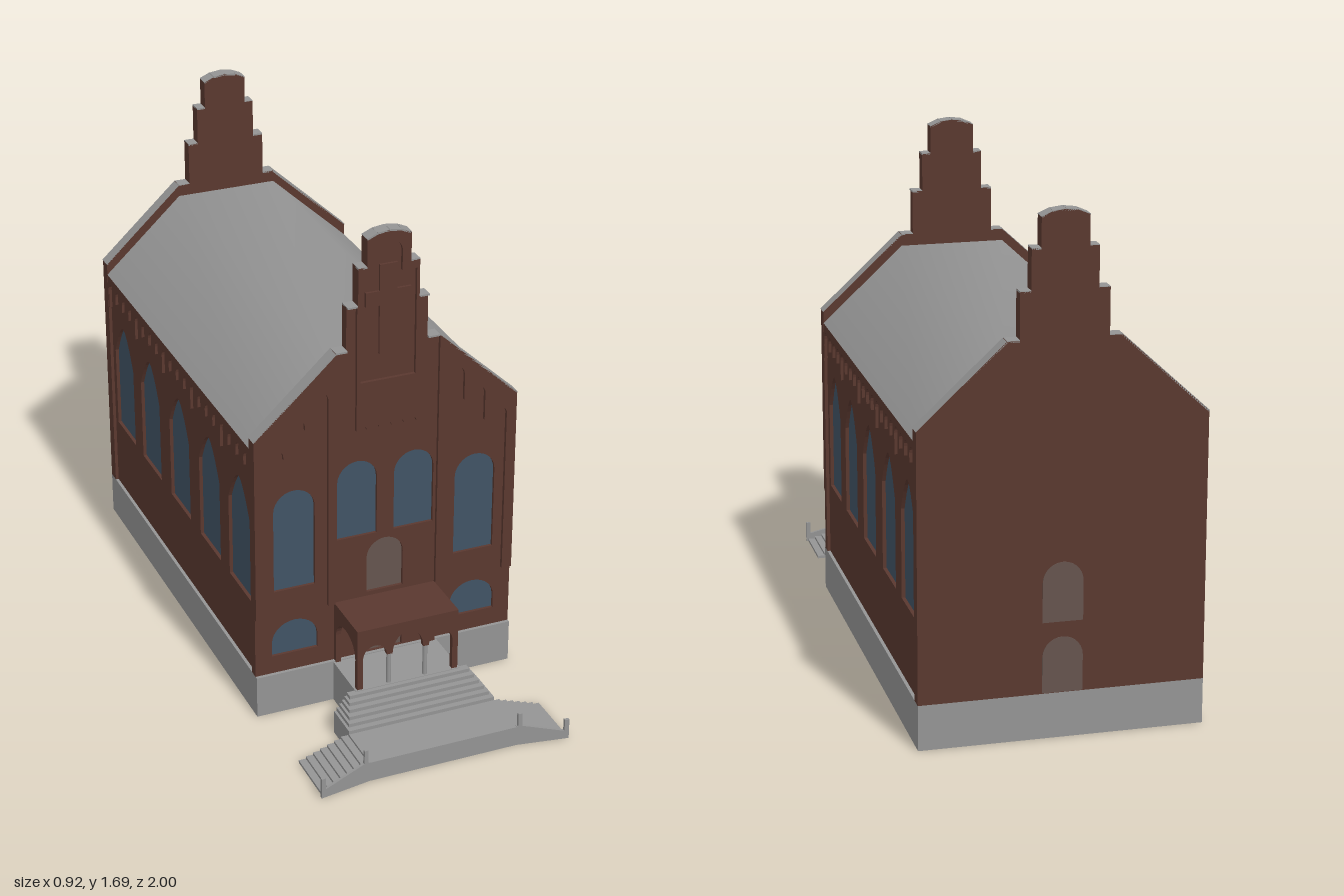
import * as THREE from 'three';

const paint = (name, color) => Object.assign(new THREE.MeshStandardMaterial({ color }), { name });

export function createModel() {
  const brick = paint('brick', 0x5a382f);
  const stone = paint('stone', 0x949494);
  const glass = paint('glass', 0x405365);
  const wood = paint('door wood', 0x65544e);
  const roofing = paint('roofing', 0x949494);
  roofing.side = THREE.DoubleSide;

  const model = new THREE.Group();
  model.name = 'church';

  const add = (name, geometry, material, parent = model) => {
    const mesh = new THREE.Mesh(geometry, material);
    mesh.name = name;
    parent.add(mesh);
    return mesh;
  };
  // box given by its limits
  const box = (name, x0, x1, y0, y1, z0, z1, material, parent) =>
    add(name, new THREE.BoxGeometry(x1 - x0, y1 - y0, z1 - z0)
      .translate((x0 + x1) / 2, (y0 + y1) / 2, (z0 + z1) / 2), material, parent);
  const shapeOf = (pts, s = 1) => new THREE.Shape(pts.map(([x, y]) => new THREE.Vector2(s * x, y)));
  // flat shape extruded from z0 to z1
  const slab = (name, shape, z0, z1, material, parent) =>
    add(name, new THREE.ExtrudeGeometry(shape, { depth: z1 - z0, bevelEnabled: false })
      .translate(0, 0, z0), material, parent);
  // points of an arch from x0 to x1, round or pointed
  const arch = (x0, x1, y, h, pointed = false, n = 14) =>
    Array.from({ length: n + 1 }, (_, i) => {
      const a = Math.PI * i / n, t = -Math.cos(a);
      return [(x0 + x1) / 2 + t * (x1 - x0) / 2,
        y + h * (pointed ? 1 - Math.abs(t) ** 1.6 : Math.sin(a))];
    });
  const opening = (x, w, y0, spring, top, pointed) =>
    shapeOf([[x - w / 2, y0], ...arch(x - w / 2, x + w / 2, spring, top - spring, pointed), [x + w / 2, y0]]);

  // plinth and solid core
  box('plinth', -0.46, 0.46, 0, 0.15, -1, 0.495, stone);
  box('core', -0.43, 0.43, 0.15, 0.99, -0.96, 0.455, brick);

  // roof: sloped sides with a flat crown, smoothly shaded
  const section = [[-0.46, 0.99], [-0.18, 1.25], [0.18, 1.25], [0.46, 0.99]];
  const roof = new THREE.PlaneGeometry(1, 1.41, 3, 1).rotateX(-Math.PI / 2).translate(0, 0, -0.2525);
  const rp = roof.attributes.position;
  for (let i = 0; i < rp.count; i++) {
    const [x, y] = section[i % 4];
    rp.setXYZ(i, x, y, rp.getZ(i));
  }
  roof.computeVertexNormals();
  add('roof', roof, roofing);

  // stepped gable outline, right half mirrored to the left
  const half = [[0.46, 1.03], [0.18, 1.29], [0.14, 1.29], [0.14, 1.44], [0.105, 1.44],
    [0.105, 1.57], [0.075, 1.57], [0.075, 1.665], [0.04, 1.68], [0, 1.685]];
  const crest = [...half, ...half.slice(0, -1).reverse().map(([x, y]) => [-x, y])];
  const gable = () => shapeOf([[-0.46, 0.15], [0.46, 0.15], ...crest]);

  // stone coping on every part of the outline that is not upright
  const coping = (name, z0, z1) => {
    const group = new THREE.Group();
    group.name = name;
    model.add(group);
    for (let i = 1; i < crest.length; i++) {
      const [ax, ay] = crest[i - 1], [bx, by] = crest[i];
      if (Math.abs(ax - bx) < 0.001) continue;
      const piece = add('copingStone',
        new THREE.BoxGeometry(Math.hypot(ax - bx, ay - by), 0.006, z1 - z0), stone, group);
      piece.position.set((ax + bx) / 2, (ay + by) / 2 - 0.001, (z0 + z1) / 2);
      piece.rotation.z = Math.atan2(ay - by, ax - bx);
    }
  };

  // front gable: solid backing and a face cut for windows and doors
  const windows = [opening(-0.1, 0.14, 0.605, 0.815, 0.885), opening(0.1, 0.14, 0.605, 0.815, 0.885)];
  for (const s of [-1, 1]) {
    windows.push(opening(s * 0.32, 0.144, 0.46, 0.753, 0.825));
    windows.push(opening(s * 0.32, 0.162, 0.215, 0.265, 0.34));
  }
  const doors = [opening(0, 0.13, 0.152, 0.27, 0.335), opening(0, 0.13, 0.385, 0.515, 0.58)];
  slab('frontGableBacking', gable(), 0.45, 0.466, brick);
  const face = gable();
  face.holes.push(...windows, ...doors);
  slab('frontGableFace', face, 0.466, 0.483, brick);
  windows.forEach(w => slab('frontWindow', w, 0.466, 0.473, glass));
  doors.forEach(d => slab('frontDoor', d, 0.466, 0.473, wood));
  coping('frontCoping', 0.45, 0.495);

  // raised pilasters joined by stepped arches, one set each side
  const facing = [[0.18, 0.37], [0.205, 0.37], ...arch(0.205, 0.27, 1.13, 0.035),
    [0.27, 1.04], [0.285, 1.04], ...arch(0.285, 0.345, 1.05, 0.03),
    [0.345, 0.95], [0.36, 0.95], ...arch(0.36, 0.425, 0.96, 0.03),
    [0.425, 0.37], [0.46, 0.37], [0.46, 1.03], [0.18, 1.29]];
  for (const s of [-1, 1]) slab('pilasterFacing', shapeOf(facing, s), 0.483, 0.495, brick);

  // projecting centre panel with a scalloped foot, a recess and a cross
  const foot = [];
  for (let i = 0; i < 5; i++) foot.push(...arch(-0.108 + i * 0.0432, -0.072 + i * 0.0432, 1, 0.015, false, 6));
  const panel = shapeOf([...foot, [0.108, 1], [0.108, 1.44], [0.105, 1.44], [0.105, 1.57],
    [0.075, 1.57], [0.075, 1.665], [0.04, 1.68], [0, 1.685], [-0.04, 1.68], [-0.075, 1.665],
    [-0.075, 1.57], [-0.105, 1.57], [-0.105, 1.44], [-0.108, 1.44]]);
  panel.holes.push(shapeOf([[0.095, 1.17], [0.095, 1.54], [0.045, 1.54],
    ...arch(-0.045, 0.045, 1.61, 0.04).reverse(), [-0.045, 1.54], [-0.095, 1.54], [-0.095, 1.17]]));
  slab('centrePanel', panel, 0.483, 0.495, brick);
  slab('cross', shapeOf([[-0.03, 1.26], [0.03, 1.26], [0.03, 1.43], [0.078, 1.43], [0.078, 1.48],
    [0.03, 1.48], [0.03, 1.57], [-0.03, 1.57], [-0.03, 1.48], [-0.078, 1.48], [-0.078, 1.43], [-0.03, 1.43]]),
  0.483, 0.492, brick);

  // plain back gable with two doors
  slab('backGable', gable(), -1, -0.955, brick);
  coping('backCoping', -1, -0.955);
  doors.forEach(d => slab('backDoor', d, -1.002, -0.999, wood));

  // side walls: pointed windows under a toothed frieze
  for (const s of [1, -1]) {
    const side = new THREE.Group();
    side.name = s > 0 ? 'leftWall' : 'rightWall';
    side.rotation.y = s * Math.PI / 2;
    model.add(side);
    const u0 = Math.min(-s * 0.455, s * 0.96), u1 = u0 + 1.415;
    const wall = shapeOf([[u0, 0.15], [u1, 0.15], [u1, 0.99], [u0, 0.99]]);
    const lancets = [0.325, 0.045, -0.25, -0.55, -0.83].map(z => opening(-s * z, 0.196, 0.405, 0.7, 0.828, true));
    wall.holes.push(...lancets);
    slab('wallFace', wall, 0.43, 0.449, brick, side);
    lancets.forEach(w => slab('sideWindow', w, 0.43, 0.437, glass, side));
    const teeth = [], pitch = (u1 - u0) / 20;
    for (let i = 0; i < 20; i++) {
      const a = u0 + i * pitch, drop = i % 4 ? 0.905 : 0.865;
      teeth.push([a, drop], [a + 0.014, drop], ...arch(a + 0.014, a + pitch, 0.935, 0.028, false, 8));
    }
    slab('frieze', shapeOf([...teeth, [u1, 0.99], [u0, 0.99]]), 0.449, 0.459, brick, side);
  }

  // porch: arcade in front, one arch each side, flat roof and slim columns
  box('porchFloor', -0.187, 0.187, 0, 0.147, 0.495, 0.685, stone);
  box('porchRoof', -0.18, 0.18, 0.345, 0.37, 0.483, 0.68, brick);
  slab('porchArcade', shapeOf([[-0.18, 0.147], [-0.16, 0.147], ...arch(-0.16, -0.075, 0.26, 0.045),
    ...arch(-0.055, 0.055, 0.26, 0.073), ...arch(0.075, 0.16, 0.26, 0.045),
    [0.16, 0.147], [0.18, 0.147], [0.18, 0.36], [-0.18, 0.36]]), 0.662, 0.68, brick);
  for (const s of [-1, 1]) {
    const cheek = slab('porchSide', shapeOf([[-0.68, 0.147], [-0.662, 0.147], ...arch(-0.662, -0.5, 0.255, 0.065),
      [-0.5, 0.147], [-0.483, 0.147], [-0.483, 0.36], [-0.68, 0.36]]), -0.009, 0.009, brick);
    cheek.rotation.y = Math.PI / 2;
    cheek.position.x = s * 0.171;
    add('porchColumn', new THREE.CylinderGeometry(0.008, 0.008, 0.115, 12)
      .translate(s * 0.065, 0.2035, 0.671), stone);
  }

  // widening front steps down to the landing
  for (let i = 0; i < 6; i++) {
    const w = 0.215 + i * 0.009;
    box('frontStep', -w, w, 0, 0.145 - i * 0.0125, 0.675, 0.7 + i * 0.02, stone);
  }
  box('landing', -0.26, 0.26, 0, 0.07, 0.79, 0.97, stone);

  // side flights with a sloping kerb that flares forward, and two posts each
  const flare = x => 0.97 + (Math.abs(x) - 0.26) / 6;
  for (const s of [-1, 1]) {
    for (let i = 0; i < 7; i++) {
      const a = 0.26 + i * 0.0245, b = a + 0.0245;
      box('sideStep', Math.min(s * a, s * b), Math.max(s * a, s * b), 0, 0.062 - i * 0.0088, 0.79, flare(a) - 0.004, stone);
    }
    const kerb = new THREE.ExtrudeGeometry(shapeOf([[0.26, 0], [0.437, 0], [0.437, 0.072], [0.422, 0.072],
      [0.422, 0.03], [0.28, 0.072], [0.278, 0.12], [0.265, 0.12], [0.265, 0.072], [0.26, 0.072]], s),
    { depth: 0.01, bevelEnabled: false });
    const kp = kerb.attributes.position;
    for (let i = 0; i < kp.count; i++) kp.setZ(i, kp.getZ(i) - 0.01 + flare(kp.getX(i)));
    kerb.computeVertexNormals();
    add('kerb', kerb, stone);
  }

  return model;
}
